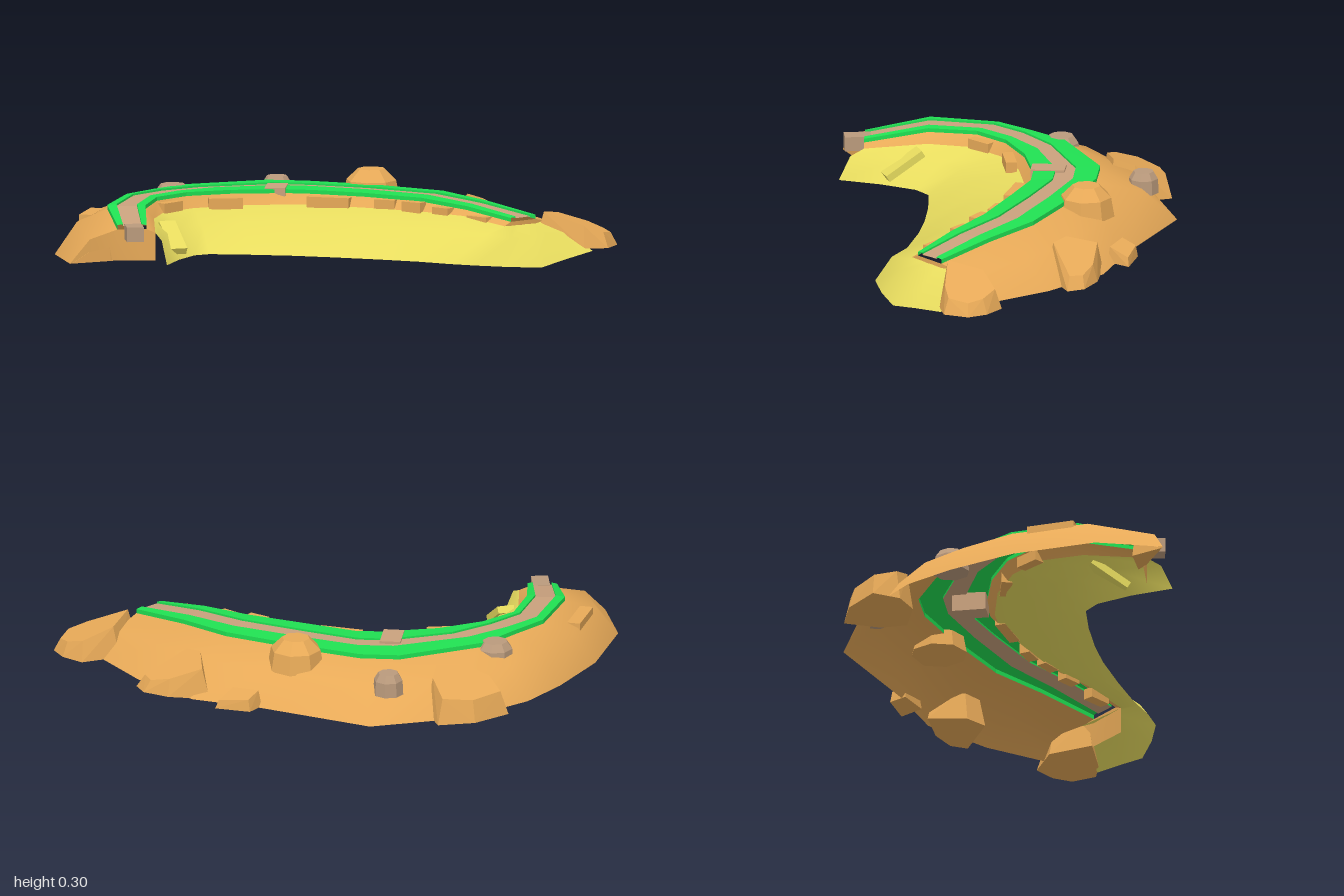
import * as THREE from 'three';
import { ConvexGeometry } from 'three/addons/geometries/ConvexGeometry.js';

const material = (name, color, flatShading = false) =>
  new THREE.MeshStandardMaterial({ name, color, flatShading, side: THREE.DoubleSide });

// Plan curves along the bend, as x z pairs with one pair per station
const FOOT = [[-1, -0.39], [-0.84, -0.62], [-0.53, -0.79], [-0.24, -0.87], [-0.02, -0.9], [0.3, -0.85],
  [0.64, -0.64], [0.8, -0.16], [0.92, 0.1], [0.91, 0.42], [0.84, 0.7]];
const GRASS_OUT = [[-0.8, -0.31], [-0.63, -0.52], [-0.37, -0.65], [-0.2, -0.655], [-0.01, -0.66], [0.33, -0.51],
  [0.43, -0.38], [0.53, -0.12], [0.62, 0.2], [0.61, 0.45], [0.6, 0.73]];
const GRASS_IN = [[-0.72, -0.22], [-0.53, -0.4], [-0.35, -0.5], [-0.18, -0.49], [0, -0.41], [0.18, -0.27],
  [0.25, -0.18], [0.33, 0.03], [0.41, 0.27], [0.435, 0.5], [0.46, 0.72]];
const SAND_EDGE = [[-0.74, -0.09], [-0.58, -0.17], [-0.43, -0.22], [-0.35, -0.21], [-0.24, -0.09], [-0.13, 0.05],
  [-0.05, 0.17], [0.05, 0.35], [0.13, 0.51], [0.18, 0.64], [0.23, 0.73]];
const HEIGHT = [0.2, 0.245, 0.25, 0.252, 0.25, 0.247, 0.245, 0.245, 0.24, 0.225, 0.195];

const P = ([x, z], y) => new THREE.Vector3(x, y, z);

// Surface through rows of points, each row running from the outside of the bend to the inside
function sheet(name, rows, mat) {
  const n = rows[0].length, index = [];
  for (let i = 0; i < rows.length - 1; i++)
    for (let j = 0; j < n - 1; j++) {
      const a = i * n + j, c = a + n;
      index.push(a, a + 1, c, a + 1, c + 1, c);
    }
  const g = new THREE.BufferGeometry().setFromPoints(rows.flat());
  g.setIndex(index);
  g.computeVertexNormals();
  const mesh = new THREE.Mesh(g, mat);
  mesh.name = name;
  return mesh;
}

// Faceted rock: a base outline and a smaller top, which falls away outwards by the given slope
function rock(name, outline, y0, y1, shrink, fall, mat) {
  const base = outline.map(p => P(p, y0));
  const centre = base.reduce((s, p) => s.add(p), new THREE.Vector3()).divideScalar(base.length);
  const outward = new THREE.Vector3(centre.x, 0, centre.z).normalize();
  const top = base.map(p => {
    const q = centre.clone().lerp(p, shrink);
    return q.setY(y1 - fall * q.clone().sub(centre).dot(outward));
  });
  const mesh = new THREE.Mesh(new ConvexGeometry([...base, ...top]), mat);
  mesh.name = name;
  return mesh;
}

const ring = (x, z, r, n) => Array.from({ length: n }, (_, i) => {
  const a = (i + 0.3) / n * Math.PI * 2;
  return [x + r * Math.cos(a), z + r * Math.sin(a)];
});

function block(name, x, y, z, w, h, d, turn, mat) {
  const mesh = new THREE.Mesh(new THREE.BoxGeometry(w, h, d), mat);
  mesh.name = name;
  mesh.position.set(x, y, z);
  mesh.rotation.y = turn;
  return mesh;
}

export function createModel() {
  const model = new THREE.Group();
  model.name = 'curvedRidge';
  const earth = material('orange earth', 0xe8aa58);
  const sand = material('yellow sand', 0xf0e462);
  const grass = material('green grass', 0x20e052, true);
  const path = material('tan path', 0xc9a17d, true);
  const stone = material('grey brown stone', 0xba9a7c, true);

  const slope = [], outerGrass = [], innerGrass = [], track = [], cliff = [], beach = [];
  HEIGHT.forEach((h, i) => {
    const gOut = P(GRASS_OUT[i], h - 0.004), gIn = P(GRASS_IN[i], h - 0.004);
    const across = gIn.clone().sub(gOut);
    const half = Math.min(0.042, across.length() * 0.32);
    across.normalize();

    // path sunk a little between its two grass strips
    const mid = gOut.clone().lerp(gIn, 0.51).setY(h - 0.008);
    const pOut = mid.clone().addScaledVector(across, -half);
    const pIn = mid.clone().addScaledVector(across, half);

    // outer slope with a rounded shoulder
    const top = gOut.clone().setY(h - 0.022), bottom = P(FOOT[i], 0.05);
    const shoulder = bottom.clone().lerp(top, 0.42).setY(0.05 + (h - 0.072) * 0.74);
    slope.push([bottom, shoulder, top]);
    outerGrass.push([top, gOut, pOut.clone().setY(h), pOut]);
    track.push([pOut, pIn]);

    // inner grass lip, cliff and sand bank
    const lip = gIn.clone().setY(h - 0.02);
    innerGrass.push([pIn, pIn.clone().setY(h), gIn, lip]);
    const cliffFoot = gIn.clone().addScaledVector(across, 0.035).setY(Math.min(0.185, h - 0.035));
    cliff.push([lip, cliffFoot]);
    const edge = P(SAND_EDGE[i], 0.045 - 0.0025 * i);
    beach.push([cliffFoot, cliffFoot.clone().lerp(edge, 0.55).setY(0.14), edge]);
  });

  // sand wrapping around the near end of the ridge
  for (const [a, b, y] of [[[0.48, 0.72], [0.34, 0.81], 0.01], [[0.53, 0.72], [0.47, 0.88], 0],
    [[0.58, 0.72], [0.6, 0.89], 0.02], [[0.66, 0.72], [0.76, 0.9], 0.04]]) {
    const upper = P(a, 0.16), edge = P(b, y);
    beach.push([upper, upper.clone().lerp(edge, 0.5).setY(0.115), edge]);
  }

  model.add(
    sheet('outerSlope', slope, earth),
    sheet('outerGrass', outerGrass, grass),
    sheet('path', track, path),
    sheet('innerGrass', innerGrass, grass),
    sheet('innerCliff', cliff, earth),
    sheet('sandBank', beach, sand),
  );

  // closing faces at both ends of the ridge
  const section = i => [...slope[i], ...cliff[i]];
  const ground = row => row.map(v => v.clone().setY(0.05));
  const left = section(0), near = section(HEIGHT.length - 1);
  model.add(
    sheet('leftEndFace', [ground(left), left], earth),
    sheet('nearEndFace', [near, ground(near)], earth),
  );

  // side path dropping over the inner cliff, and the stone ending the path
  model.add(
    block('sidePath', 0.2, 0.209, -0.34, 0.14, 0.08, 0.085, 0.65, path),
    block('pathEndStone', -0.775, 0.168, -0.24, 0.11, 0.06, 0.07, 0.85, stone),
  );

  // large rocks on the outer slope
  model.add(
    rock('backBoulder', [[0.1, -0.83], [0.14, -0.946], [0.31, -0.92], [0.435, -0.83], [0.36, -0.69], [0.27, -0.63], [0.14, -0.72]], 0.05, 0.18, 0.82, 0.35, earth),
    rock('endBoulder', [[0.6, 0.72], [0.78, 0.65], [0.93, 0.72], [0.94, 0.82], [0.91, 0.9], [0.81, 0.94], [0.73, 0.88]], 0.05, 0.14, 0.8, 0.35, earth),
    rock('sideBoulder', [[0.76, 0.27], [0.76, 0.17], [0.87, 0.05], [0.97, 0.19], [1, 0.3], [0.97, 0.37]], 0.05, 0.15, 0.78, 0.5, earth),
    rock('sideRock', [[0.78, -0.16], [0.86, -0.17], [0.93, -0.04], [0.82, -0.03]], 0.05, 0.105, 0.85, 0.3, earth),
    rock('roundBoulder', ring(0.58, -0.16, 0.118, 8), 0.17, 0.25, 0.88, 0, earth),
    rock('roundBoulderCap', ring(0.58, -0.16, 0.104, 8), 0.25, 0.297, 0.55, 0, earth),
    rock('leftEndRock', [[-0.99, -0.385], [-0.85, -0.42], [-0.77, -0.31], [-0.83, -0.32]], 0.05, 0.12, 0.88, 0.55, earth),
    block('slopeSlab', -0.6, 0.17, -0.635, 0.2, 0.06, 0.055, 0.5, earth),
  );

  // grey stones beside the path
  for (const [x, z, r, y] of [[-0.05, -0.685, 0.076, 0.25], [0.49, -0.6, 0.063, 0.235]]) {
    model.add(
      rock('stone', ring(x, z, r, 8), y - 0.09, y - 0.03, 0.95, 0, stone),
      rock('stoneCap', ring(x, z, r * 0.95, 8), y - 0.03, y, 0.7, 0, stone),
    );
  }

  // small rocks along the inner cliff: x, z, length, turn
  for (const [x, z, w, turn] of [[-0.3, -0.475, 0.11, 0], [-0.06, -0.385, 0.14, -0.7], [0.245, -0.09, 0.18, -1.1],
    [0.35, 0.13, 0.09, -1.2], [0.375, 0.26, 0.09, -1.4], [0.4, 0.4, 0.08, -1.5], [0.425, 0.58, 0.1, -1.5]]) {
    model.add(block('cliffRock', x, 0.2 - Math.max(0, z - 0.3) * 0.12, z, w, 0.045, 0.045, turn, earth));
  }

  // slab of sand leaning down the bank
  const slab = block('sandSlab', -0.53, 0.122, -0.25, 0.07, 0.03, 0.18, 0, sand);
  slab.lookAt(-0.59, 0.045, -0.14);
  model.add(slab);
  return model;
}
